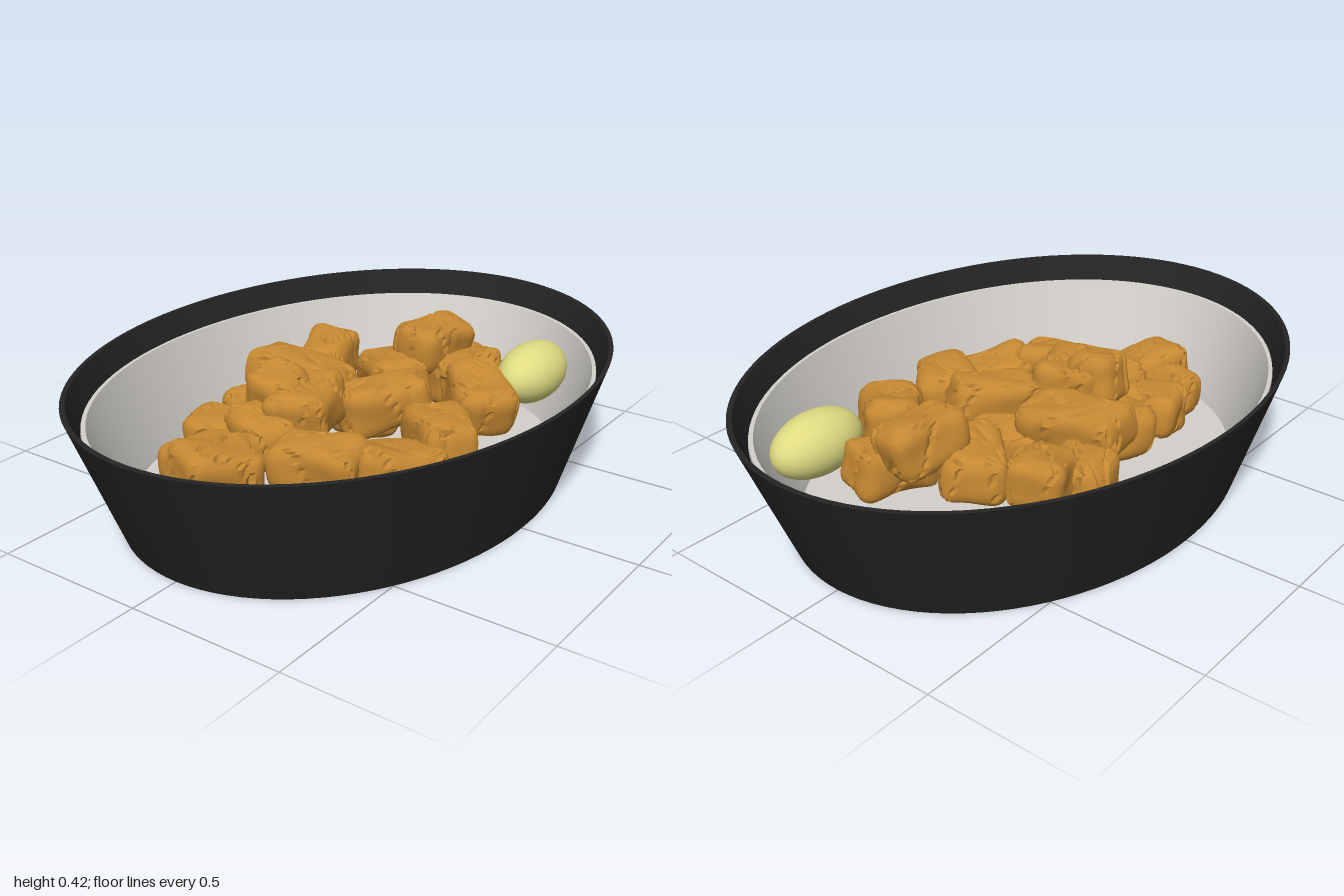
import * as THREE from 'three';
import { mergeVertices, toCreasedNormals } from 'three/addons/utils/BufferGeometryUtils.js';

const material = (name, color) => {
  const m = new THREE.MeshStandardMaterial({ color });
  m.name = name;
  return m;
};

// Oval surface of revolution with sharp profile corners
function ovalLathe(name, profile, mat) {
  const points = profile.map(([r, y]) => new THREE.Vector2(r, y));
  const geometry = new THREE.LatheGeometry(points, 96);
  geometry.scale(1, 1, 0.75);
  const mesh = new THREE.Mesh(toCreasedNormals(geometry, 0.4), mat);
  mesh.name = name;
  return mesh;
}

// Rounded, slightly lumpy block with thin surface cracks
function chunkGeometry(w, h, d, seed) {
  let g = new THREE.BoxGeometry(w, h, d, 16, 10, 14);
  g.deleteAttribute('normal');
  g.deleteAttribute('uv');
  g = mergeVertices(g);
  const pos = g.attributes.position;
  const p = new THREE.Vector3(), core = new THREE.Vector3(), out = new THREE.Vector3();
  const radius = 0.045;
  const limit = new THREE.Vector3(w / 2 - radius, h / 2 - radius, d / 2 - radius);
  const low = limit.clone().negate();
  for (let i = 0; i < pos.count; i++) {
    p.fromBufferAttribute(pos, i);
    core.copy(p).clamp(low, limit);
    out.copy(p).sub(core).normalize();
    const lump = 0.007 * Math.sin(p.x * 23 + seed * 2.1) * Math.cos(p.z * 27 - seed)
      + 0.005 * Math.sin(p.y * 31 + p.x * 19 + seed * 3.7);
    const line = Math.sin(p.x * 17 + 1.2 * Math.sin(p.z * 30 + seed) + seed * 1.7 + p.y * 9);
    const across = Math.sin(p.z * 19 + 1.3 * Math.sin(p.x * 33 - seed) + seed * 0.9);
    const crack = (Math.abs(line) < 0.1 ? 0.009 : 0) + (Math.abs(across) < 0.09 ? 0.006 : 0);
    p.copy(core).addScaledVector(out, radius + lump - crack);
    pos.setXYZ(i, p.x, p.y, p.z);
  }
  return toCreasedNormals(g, 0.6);
}

export function createModel() {
  const model = new THREE.Group();
  model.name = 'dishWithFriedChunks';
  const black = material('black', 0x242424);
  const white = material('offWhite', 0xd3d0cb);
  const brown = material('goldenBrown', 0xc58832);
  const yellow = material('paleYellow', 0xdedb82);

  // Dish: black shell with a recessed pale liner
  model.add(ovalLathe('dishShell',
    [[0, 0], [0.832, 0], [1, 0.415], [0.982, 0.415], [0.942, 0.325]], black));
  model.add(ovalLathe('dishLiner',
    [[0.942, 0.325], [0.94, 0.337], [0.925, 0.337], [0.8, 0.035], [0, 0.035]], white));

  // Chunks: x, y, z, turn in degrees, length, depth
  const chunks = [
    [0.30, 0.24, -0.32, -15, 0.23, 0.18],
    [0.18, 0.20, -0.36, -10, 0.20, 0.19],
    [0.04, 0.27, -0.23, 84, 0.35, 0.19],
    [-0.14, 0.20, -0.26, 20, 0.20, 0.20],
    [-0.33, 0.19, -0.26, -12, 0.19, 0.21],
    [-0.48, 0.17, -0.20, 12, 0.24, 0.18],
    [-0.54, 0.20, -0.10, 25, 0.26, 0.19],
    [-0.33, 0.23, -0.10, -65, 0.22, 0.17],
    [-0.18, 0.29, -0.05, -22, 0.27, 0.21],
    [-0.20, 0.32, -0.14, 85, 0.17, 0.17],
    [0.13, 0.18, -0.05, 50, 0.25, 0.17],
    [0.04, 0.26, 0.09, 38, 0.29, 0.16],
    [-0.35, 0.21, 0.13, 76, 0.28, 0.18],
    [-0.20, 0.18, 0.30, 32, 0.28, 0.19],
    [0.00, 0.22, 0.33, -52, 0.25, 0.19],
    [0.30, 0.24, 0.29, -48, 0.28, 0.19],
    [0.34, 0.22, -0.07, -50, 0.27, 0.20],
    [0.46, 0.32, 0.01, 12, 0.26, 0.17],
    [0.49, 0.22, 0.11, 16, 0.27, 0.17],
    [0.19, 0.17, -0.20, 30, 0.15, 0.12],
  ];
  const pile = new THREE.Group();
  pile.name = 'chunkPile';
  chunks.forEach(([x, y, z, turn, length, depth], i) => {
    const chunk = new THREE.Mesh(chunkGeometry(length, 0.16, depth, i + 1), brown);
    chunk.name = `chunk${i + 1}`;
    chunk.position.set(x, y, z);
    chunk.rotation.set(0.14 * Math.sin(i * 2.3), -THREE.MathUtils.degToRad(turn),
      0.14 * Math.cos(i * 1.7), 'YXZ');
    pile.add(chunk);
  });
  model.add(pile);

  // Smooth oval garnish
  const garnish = new THREE.Mesh(new THREE.SphereGeometry(1, 40, 24), yellow);
  garnish.name = 'ovalGarnish';
  garnish.scale.set(0.165, 0.1, 0.1);
  garnish.position.set(0.58, 0.25, 0.33);
  model.add(garnish);

  return model;
}
